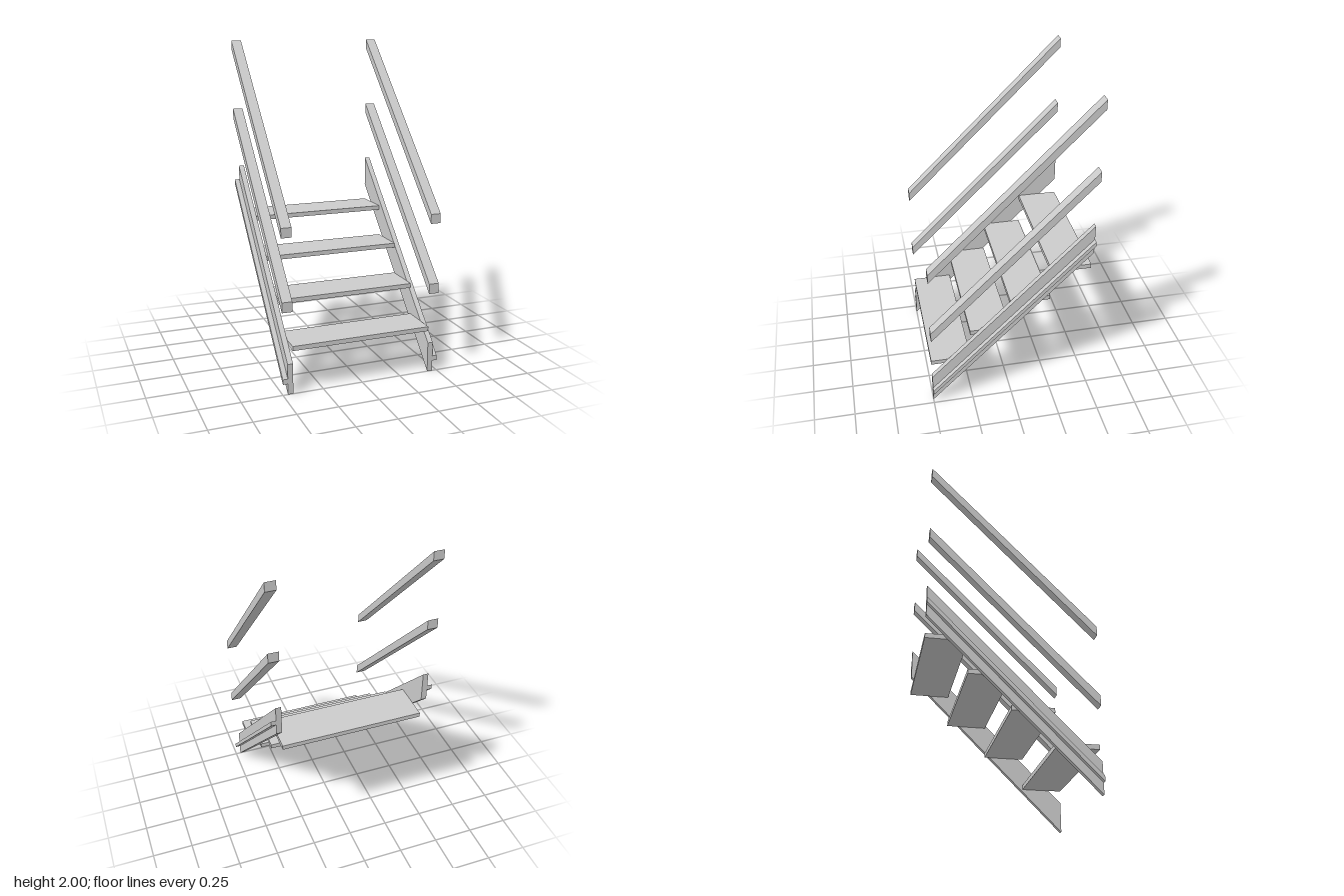
import * as THREE from 'three';

const material = new THREE.MeshStandardMaterial({ color: 0xcccccc, flatShading: true });

// Bar climbing at 45 degrees from front to back, with upright end cuts.
// bottom and top are its heights at the front end; inner and outer its x extent.
function slopedBar(name, side, inner, outer, bottom, top) {
  const profile = new THREE.Shape([
    new THREE.Vector2(0.5, bottom),
    new THREE.Vector2(0.5, top),
    new THREE.Vector2(-0.5, top + 1),
    new THREE.Vector2(-0.5, bottom + 1),
  ]);
  const width = outer - inner;
  const geometry = new THREE.ExtrudeGeometry(profile, { depth: width, bevelEnabled: false });
  geometry.translate(0, 0, -width / 2);
  geometry.rotateY(-Math.PI / 2); // profile x becomes z, depth runs along x
  const mesh = new THREE.Mesh(geometry, material);
  mesh.position.x = side * (inner + outer) / 2;
  mesh.name = name;
  return mesh;
}

export function createModel() {
  const group = new THREE.Group();
  group.name = 'staircase';

  // Stringer, outer ledge and two rails on each side
  for (const [label, side] of [['left', 1], ['right', -1]]) {
    group.add(
      slopedBar(label + 'Stringer', side, 0.437, 0.47, 0, 0.187),
      slopedBar(label + 'Ledge', side, 0.47, 0.5, 0.066, 0.097),
      slopedBar(label + 'MiddleRail', side, 0.437, 0.5, 0.503, 0.565),
      slopedBar(label + 'Handrail', side, 0.437, 0.5, 0.942, 1.0),
    );
  }

  // Four evenly spaced treads
  const treadGeometry = new THREE.BoxGeometry(0.874, 0.028, 0.25);
  for (let i = 0; i < 4; i++) {
    const tread = new THREE.Mesh(treadGeometry, material);
    tread.position.set(0, 0.279 + i * 0.201, 0.375 - i * 0.25);
    tread.name = 'tread' + (i + 1);
    group.add(tread);
  }
  return group;
}
